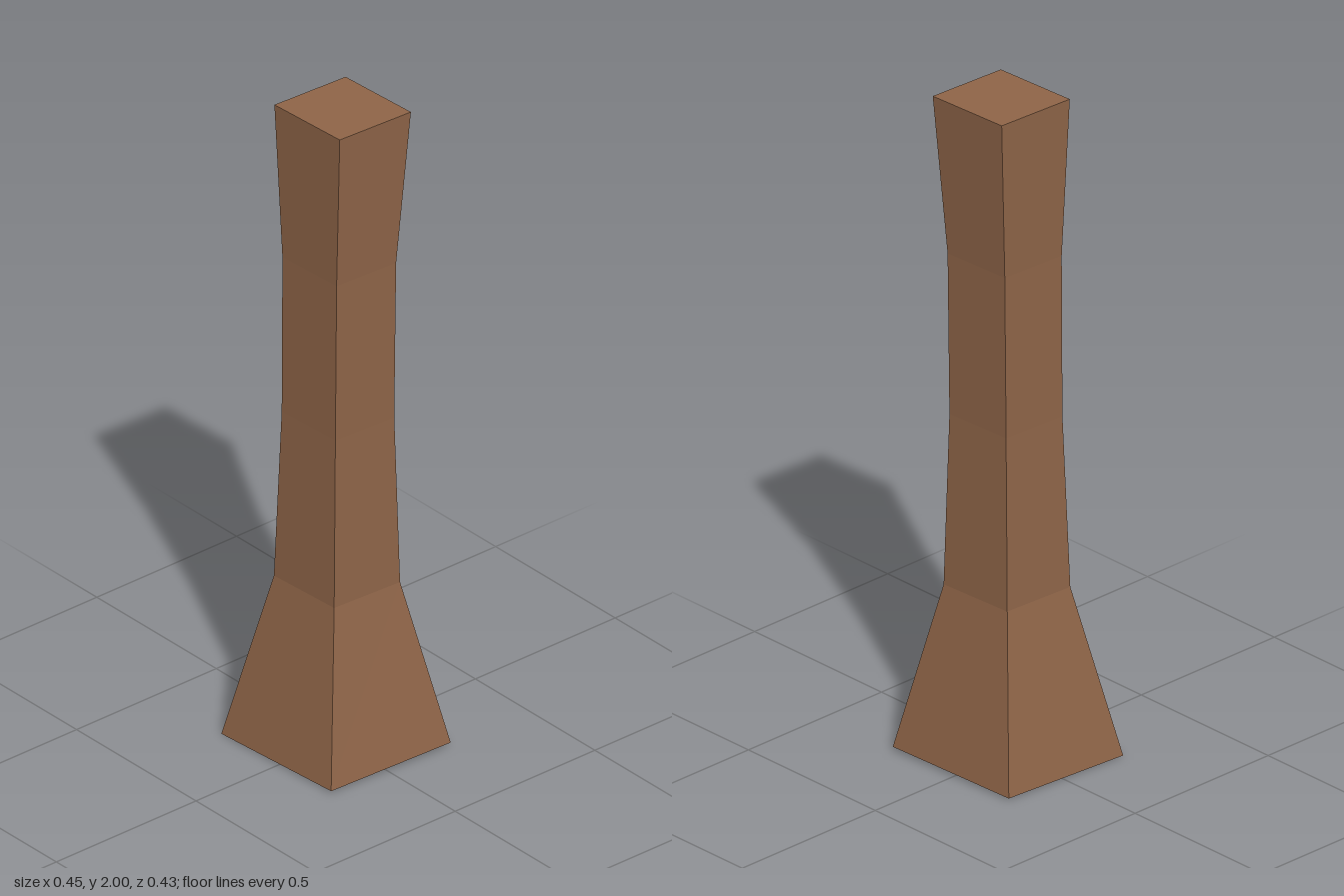
import * as THREE from 'three';

// Rings from bottom to top: height, half width, half depth, centre x, centre z
const RINGS = [
  [0.005, 0.217, 0.205, 0, -0.001],
  [0.51, 0.119, 0.113, 0.003, -0.002],
  [1.03, 0.106, 0.101, 0.006, -0.003],
  [1.52, 0.107, 0.102, 0.009, -0.005],
  [2, 0.129, 0.122, 0.015, -0.012],
];
const SKEW = 0.051; // the square plan is slightly sheared into a rhombus

function createPost() {
  // Four-sided column with corners at (+-1, +-1), reshaped ring by ring
  const geometry = new THREE.CylinderGeometry(Math.SQRT2, Math.SQRT2, 4, 4, 4, false, Math.PI / 4);
  const pos = geometry.attributes.position;
  for (let i = 0; i < pos.count; i++) {
    const ring = Math.round(pos.getY(i) + 2);
    const [y, w, d, cx, cz] = RINGS[ring];
    const u = pos.getX(i) * w;
    const v = pos.getZ(i) * d;
    const x = cx + u - v * SKEW;
    const z = cz + v - u * SKEW;
    // The foot is cut at a slight slant
    const slant = ring === 0 ? (x - z) * 0.012 : 0;
    pos.setXYZ(i, x, y + slant, z);
  }
  geometry.computeVertexNormals();
  return geometry;
}

export function createModel() {
  const group = new THREE.Group();
  group.name = 'woodenPost';
  const wood = new THREE.MeshStandardMaterial({ color: 0x8f6548, flatShading: true });
  const post = new THREE.Mesh(createPost(), wood);
  post.name = 'flaredPost';
  group.add(post);
  return group;
}
